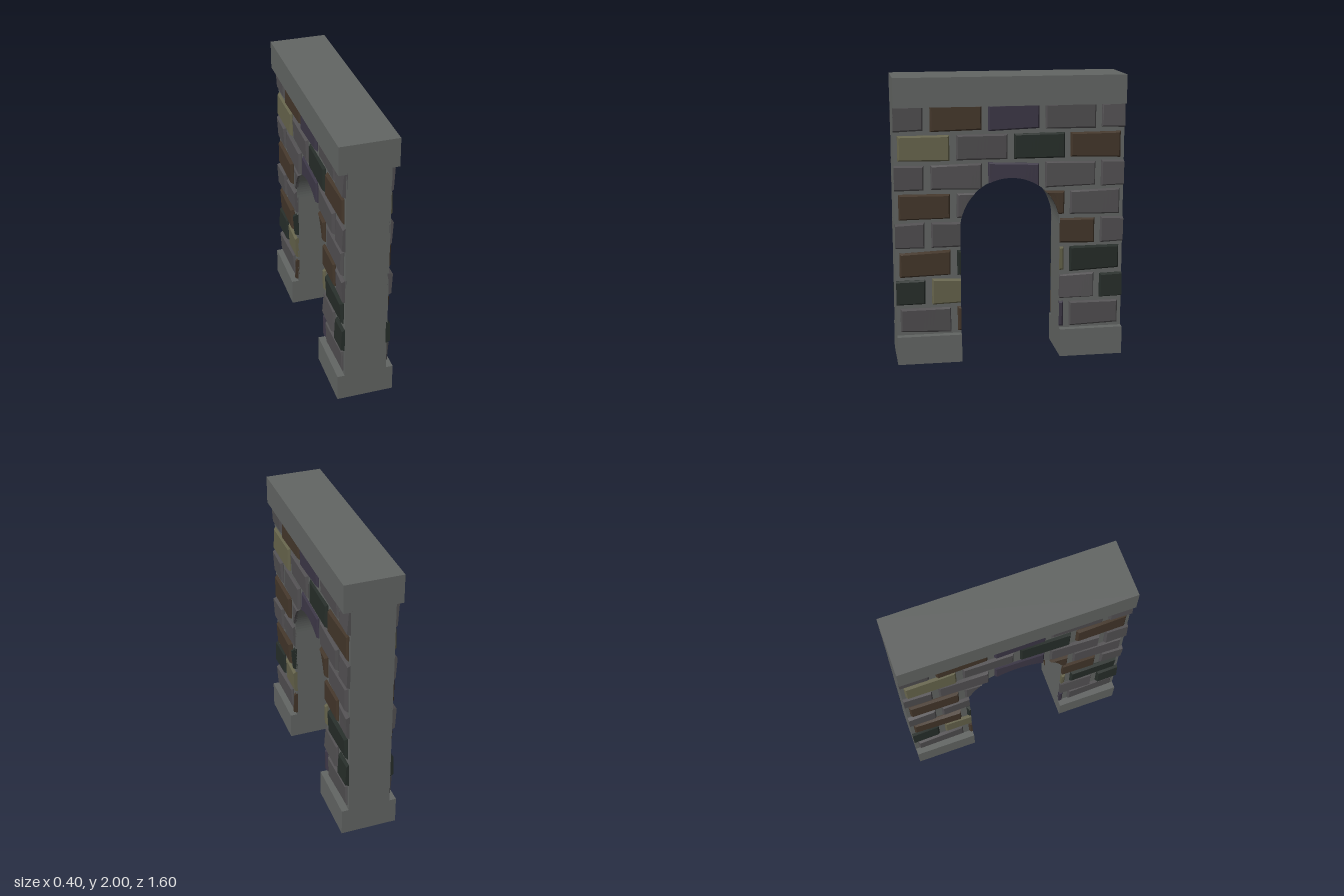
import * as THREE from 'three';

const HALF = 0.8, OPEN = 0.35, SPRING = 0.95;
const mat = (color) => new THREE.MeshStandardMaterial({ color, flatShading: true, roughness: 0.9 });
const stone = mat(0x626563);
const brickMats = {
  g: mat(0x514f51), b: mat(0x43362a), p: mat(0x3c3746), d: mat(0x262d29), o: mat(0x65634b),
};

// Brick colours per course, bottom to top
const courses = ['gbpg', 'dopgd', 'bdod', 'ggpbg', 'bgbg', 'ggpgg', 'ogdb', 'gbpgg'];

let seed = 11;
function jitter(amount) {
  seed = (seed * 16807) % 2147483647;
  return (seed / 2147483647 * 2 - 1) * amount;
}

// Height of the opening above a given distance from the middle
function archHeight(u) {
  return Math.abs(u) >= OPEN ? -1 : SPRING + Math.sqrt(OPEN * OPEN - u * u);
}

// Chamfered brick, trimmed by the wall ends and the arch
function brickGeometry(u, y, w, h) {
  const tiltB = jitter(0.008), tiltT = jitter(0.008);
  const face = 0.17 + jitter(0.004), lean = jitter(0.006), rise = jitter(0.006);
  const n = 14, positions = [], index = [];
  const rings = [[0, 0.14], [0.001, 0.155], [0.012, face]];
  for (const [inset, depth] of rings) {
    const bottom = y - h / 2 + inset, top = y + h / 2 - inset;
    let a = Math.max(u - w / 2 + inset, -HALF);
    let b = Math.min(u + w / 2 - inset, HALF);
    if (top < SPRING + OPEN) {
      const cut = bottom < SPRING ? OPEN : Math.sqrt(OPEN ** 2 - (top - SPRING) ** 2);
      if (u < 0) b = Math.min(b, -cut);
      else a = Math.max(a, cut);
    }
    if (b - a < 0.004) return null;
    const low = [], high = [];
    for (let i = 0; i <= n; i++) {
      const x = a + (b - a) * i / n;
      const s = (x - u) / (w / 2);
      const yt = top + tiltT * s;
      const yb = Math.min(yt, Math.max(bottom + tiltB * s, archHeight(x)));
      const slope = inset > 0.01 ? lean * s : 0;
      const bulge = inset > 0.01 ? rise : 0;
      low.push([x, yb, depth + slope - bulge]);
      high.unshift([x, yt, depth + slope + bulge]);
    }
    positions.push(...low.flat(), ...high.flat());
  }
  const m = 2 * (n + 1);
  for (let k = 0; k < rings.length - 1; k++) {
    for (let j = 0; j < m; j++) {
      const p = k * m + j, q = k * m + (j + 1) % m;
      index.push(p, q, q + m, p, q + m, p + m);
    }
  }
  const base = (rings.length - 1) * m;
  for (let i = 0; i < n; i++) {
    const b0 = base + i, t0 = base + m - 1 - i;
    index.push(b0, b0 + 1, t0 - 1, b0, t0 - 1, t0);
  }
  const geo = new THREE.BufferGeometry();
  geo.setAttribute('position', new THREE.Float32BufferAttribute(positions, 3));
  geo.setIndex(index);
  geo.computeVertexNormals();
  return geo;
}

function brickFace() {
  const group = new THREE.Group();
  courses.forEach((colours, row) => {
    const centres = row % 2 ? [-0.775, -0.375, 0.023, 0.42, 0.815] : [-0.597, -0.197, 0.203, 0.597];
    centres.forEach((u, i) => {
      const geo = brickGeometry(u, 0.306 + row * 0.202, 0.355, 0.177);
      if (!geo) return;
      const brick = new THREE.Mesh(geo, brickMats[colours[i]]);
      brick.name = 'brick';
      group.add(brick);
    });
  });
  return group;
}

export function createModel() {
  const model = new THREE.Group();
  model.name = 'archedWall';

  // Wall core with the arched opening
  const shape = new THREE.Shape();
  shape.moveTo(-HALF, 0.2);
  shape.lineTo(-OPEN, 0.2);
  shape.lineTo(-OPEN, SPRING);
  shape.absarc(0, SPRING, OPEN, Math.PI, 0, true);
  shape.lineTo(OPEN, 0.2);
  shape.lineTo(HALF, 0.2);
  shape.lineTo(HALF, 1.8);
  shape.lineTo(-HALF, 1.8);
  shape.closePath();
  const coreGeo = new THREE.ExtrudeGeometry(shape, { depth: 0.3, bevelEnabled: false, curveSegments: 24 });
  coreGeo.translate(0, 0, -0.15);
  coreGeo.rotateY(Math.PI / 2);
  const core = new THREE.Mesh(coreGeo, stone);
  core.name = 'wallCore';
  model.add(core);

  // Cap beam
  const cap = new THREE.Mesh(new THREE.BoxGeometry(0.4, 0.2, 2 * HALF), stone);
  cap.name = 'capBeam';
  cap.position.y = 1.9;
  model.add(cap);

  // Plinths, and the same brickwork turned to each face
  for (const side of [1, -1]) {
    const plinth = new THREE.Mesh(new THREE.BoxGeometry(0.4, 0.2, HALF - OPEN), stone);
    plinth.name = side > 0 ? 'frontPlinth' : 'backPlinth';
    plinth.position.set(0, 0.1, side * (HALF + OPEN) / 2);
    model.add(plinth);

    seed = 11;
    const bricks = brickFace();
    bricks.name = side > 0 ? 'leftBrickwork' : 'rightBrickwork';
    bricks.rotation.y = side * Math.PI / 2;
    model.add(bricks);
  }
  return model;
}
